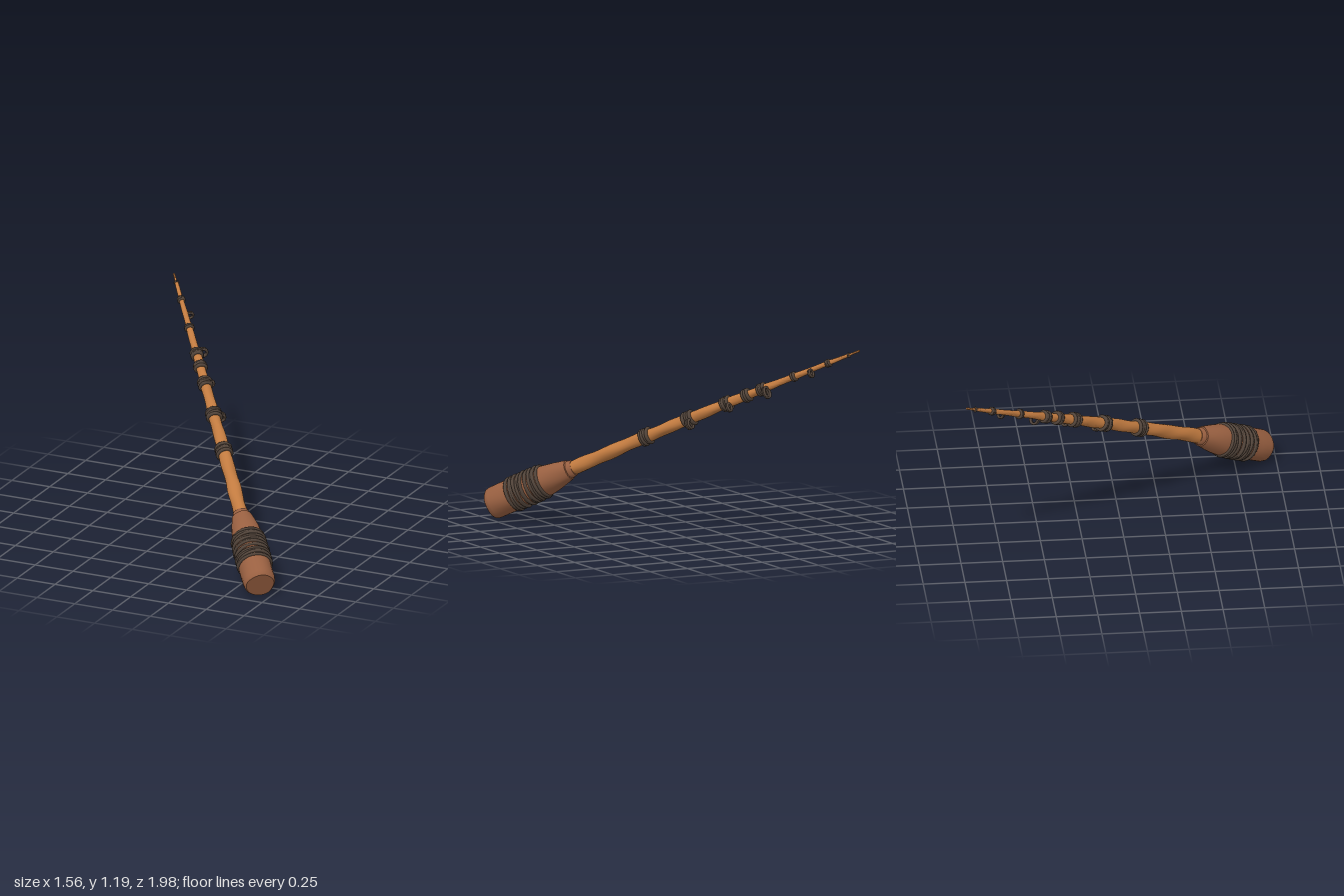
import * as THREE from 'three';
import { toCreasedNormals } from 'three/addons/utils/BufferGeometryUtils.js';

const mat = (name, color) => {
  const m = new THREE.MeshStandardMaterial({ color });
  m.name = name;
  return m;
};

// Rod axis: t runs from 0 at the butt to 1 at the tip
const BUTT = new THREE.Vector3(0.703, 0.092, 0.927);
const TIP = new THREE.Vector3(-0.783, 1.2, -0.993);
const LENGTH = BUTT.distanceTo(TIP);
const DIR = TIP.clone().sub(BUTT).normalize();
// Side on which the line guides hang, square to the axis
const SIDE = new THREE.Vector3(0.5, -0.53, -0.69);
SIDE.addScaledVector(DIR, -SIDE.dot(DIR)).normalize();
const CROSS = new THREE.Vector3().crossVectors(DIR, SIDE);
const FACING = new THREE.Quaternion().setFromRotationMatrix(new THREE.Matrix4().makeBasis(SIDE, CROSS, DIR));

// Point on the gently bowed centre line
function axisPoint(t) {
  const p = BUTT.clone().lerp(TIP, t);
  p.y += 0.016 * Math.sin(Math.PI * Math.max(t, 0) / 0.9);
  return p;
}

// Linear lookup in a list of [t, radius]
function radiusAt(profile, t) {
  for (let i = 1; i < profile.length; i++) {
    const [t0, r0] = profile[i - 1], [t1, r1] = profile[i];
    if (t <= t1) return THREE.MathUtils.lerp(r0, r1, t1 > t0 ? (t - t0) / (t1 - t0) : 1);
  }
  return profile[profile.length - 1][1];
}

// Sweep a round, slightly carved section along the axis
function sweep(sections, sides, carve) {
  const pos = [], index = [];
  sections.forEach(([t, r]) => {
    const c = axisPoint(t);
    for (let j = 0; j < sides; j++) {
      const a = (j / sides) * Math.PI * 2;
      const k = r * (1 + carve(a, t));
      const p = c.clone().addScaledVector(SIDE, k * Math.cos(a)).addScaledVector(CROSS, k * Math.sin(a));
      pos.push(p.x, p.y, p.z);
    }
  });
  for (let i = 0; i < sections.length - 1; i++) {
    for (let j = 0; j < sides; j++) {
      const a = i * sides + j, b = i * sides + (j + 1) % sides;
      index.push(a, b, b + sides, a, b + sides, a + sides);
    }
  }
  const g = new THREE.BufferGeometry();
  g.setAttribute('position', new THREE.Float32BufferAttribute(pos, 3));
  g.setIndex(index);
  return toCreasedNormals(g, 0.7);
}

export function createModel() {
  const wood = mat('honey wood', 0xc27b40);
  const gripWood = mat('brown grip wood', 0x996041);
  const cord = mat('dark cord', 0x52443a);

  const model = new THREE.Group();
  model.name = 'fishingRod';
  const add = (name, geometry, material, parent = model) => {
    const m = new THREE.Mesh(geometry, material);
    m.name = name;
    parent.add(m);
    return m;
  };

  // Tapered pole with spiral carving
  const poleProfile = [[0.19, 0.043], [0.3, 0.042], [0.42, 0.038], [0.55, 0.034], [0.7, 0.027],
    [0.82, 0.019], [0.92, 0.014], [0.97, 0.011], [0.972, 0.007], [1, 0.006]];
  const pole = [];
  for (let i = 0; i <= 150; i++) {
    const t = 0.19 + 0.81 * i / 150;
    pole.push([t, radiusAt(poleProfile, t)]);
  }
  pole.push([1, 0]);
  add('pole', sweep(pole, 18, (a, t) =>
    0.045 * Math.sin(2 * a + t * 75) + 0.03 * Math.sin(3 * a - t * 48 + 1)), wood);

  // Grip: flat butt, swollen body, tapered neck and collar
  const grip = [[0, 0], [0, 0.084], [0.004, 0.093], [0.012, 0.097], [0.04, 0.098], [0.07, 0.098], [0.1, 0.098],
    [0.13, 0.096], [0.15, 0.092], [0.17, 0.084], [0.19, 0.073], [0.205, 0.064], [0.211, 0.06],
    [0.212, 0.053], [0.222, 0.05], [0.224, 0.046], [0.224, 0]];
  add('grip', sweep(grip, 26, (a, t) =>
    0.02 * Math.sin(3 * a + t * 30) + 0.012 * Math.sin(5 * a - t * 60)), gripWood);

  // Turns of cord wound round the axis between two positions
  function winding(name, t0, t1, radius, tube, turns) {
    const group = new THREE.Group();
    group.name = name;
    for (let i = 0; i < turns; i++) {
      const t = turns > 1 ? THREE.MathUtils.lerp(t0, t1, i / (turns - 1)) : t0;
      const r = typeof radius === 'function' ? radius(t) : radius;
      const turn = add('cordTurn', new THREE.TorusGeometry(r * (1 + 0.02 * Math.sin(i * 2.4)), tube, 7, 26), cord, group);
      turn.position.copy(axisPoint(t));
      turn.quaternion.copy(FACING);
      turn.rotateX(0.07 * Math.sin(i * 1.9 + t * 40));
      turn.rotateY(0.07 * Math.cos(i * 2.7 + t * 25));
    }
    model.add(group);
  }
  winding('gripWrap', 0.062, 0.142, t => radiusAt(grip.slice(2), t) + 0.001, 0.0105, 13);

  // Bindings along the pole: [t, width]
  const bindings = [[0.42, 0.07], [0.537, 0.07], [0.638, 0.065], [0.694, 0.05], [0.735, 0.055],
    [0.822, 0.03], [0.915, 0.035], [0.971, 0.008]];
  bindings.forEach(([t, width]) => {
    const r = radiusAt(poleProfile, t);
    const tube = Math.min(0.011, 0.003 + r * 0.3);
    const half = Math.max(width / 2 - tube, 0) / LENGTH;
    const turns = Math.max(1, Math.round(width / (tube * 1.5)));
    winding('binding', t - half, t + half, r + tube * 0.45, tube, turns);
  });

  // Hanging line guides: [t, loop radius, cord thickness, turns]
  const guides = [[0.541, 0.026, 0.008, 3], [0.648, 0.022, 0.008, 2], [0.75, 0.032, 0.008, 2], [0.87, 0.022, 0.007, 2]];
  guides.forEach(([t, r, tube, turns]) => {
    const group = new THREE.Group();
    group.name = 'lineGuide';
    const drop = radiusAt(poleProfile, t) + r * 0.85;
    for (let i = 0; i < turns; i++) {
      const loop = add('guideLoop', new THREE.TorusGeometry(r, tube, 7, 20), cord, group);
      loop.position.copy(axisPoint(t + (i - (turns - 1) / 2) * tube * 1.3 / LENGTH)).addScaledVector(SIDE, drop);
      loop.quaternion.copy(FACING);
      loop.rotateY(0.1 * (i - 0.5));
    }
    model.add(group);
  });

  return model;
}
